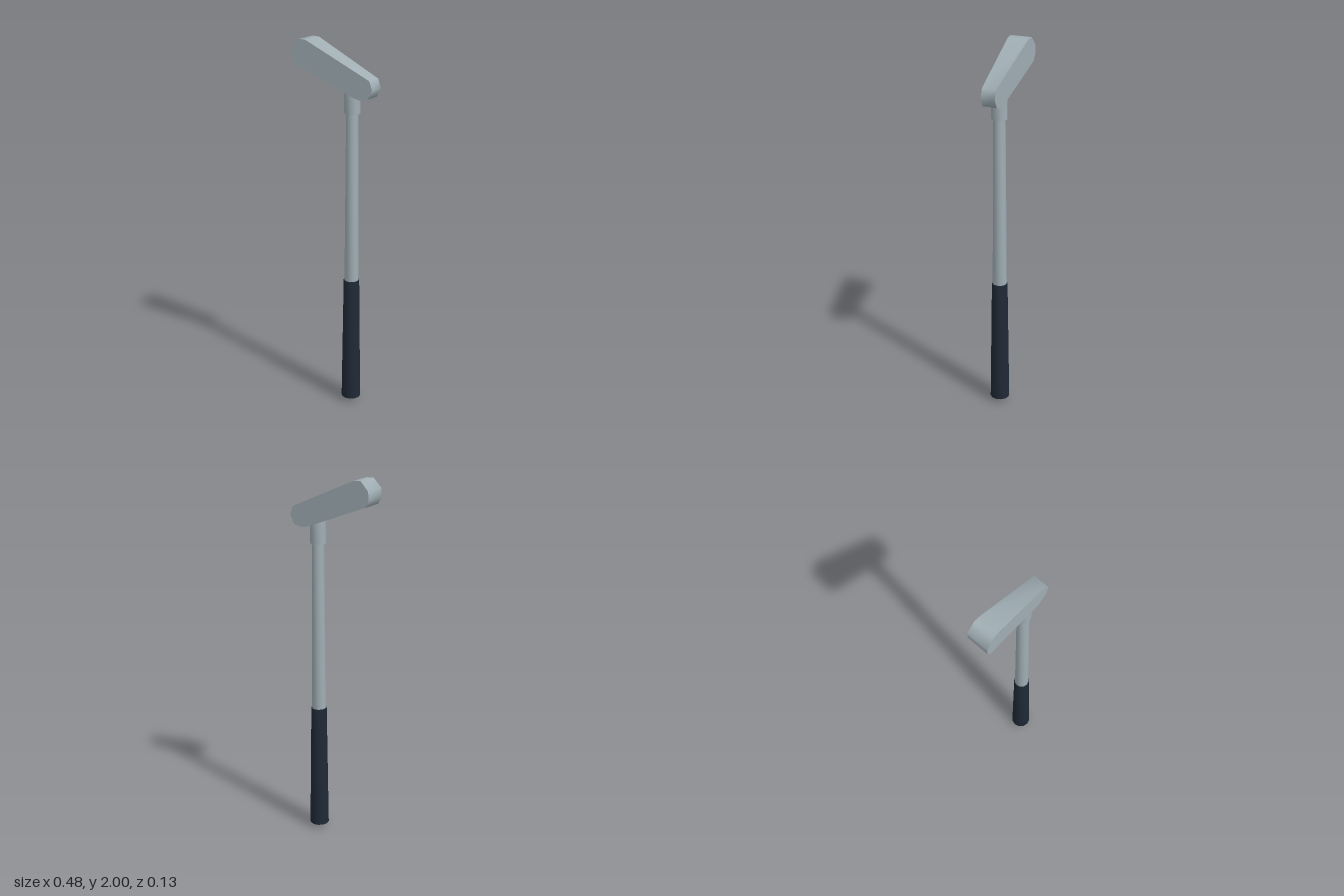
import * as THREE from 'three';
import { toCreasedNormals } from 'three/addons/utils/BufferGeometryUtils.js';

export function createModel() {
  const model = new THREE.Group();
  model.name = 'putter';
  const steel = new THREE.MeshStandardMaterial({ color: 0xa0aeb4 });
  steel.name = 'steel';
  const rubber = new THREE.MeshStandardMaterial({ color: 0x1f2936 });
  rubber.name = 'dark rubber';

  const add = (name, geometry, material) => {
    const mesh = new THREE.Mesh(geometry, material);
    mesh.name = name;
    model.add(mesh);
    return mesh;
  };

  // Parts turned around the shaft axis, from [radius, height] profiles
  const turned = (name, profile, material) => {
    const lathe = new THREE.LatheGeometry(profile.map(([r, y]) => new THREE.Vector2(r, y)), 12);
    add(name, toCreasedNormals(lathe, 0.7), material).position.set(0.095, 0, -0.015);
  };
  turned('grip', [[0, 0], [0.052, 0.025], [0.042, 0.72], [0, 0.72]], rubber);
  turned('shaft', [[0.038, 0.71], [0.032, 1.65]], steel);
  turned('hosel', [[0, 1.64], [0.042, 1.64], [0.042, 1.78], [0, 1.78]], steel);

  // Tilted head with rounded ends
  const outline = [
    [-0.219, 1.87], [0.124, 1.733], [0.167, 1.722], [0.215, 1.734], [0.239, 1.781],
    [0.222, 1.828], [-0.151, 1.998], [-0.193, 2], [-0.237, 1.952], [-0.239, 1.905],
  ].map(([x, y]) => new THREE.Vector2(x, y));
  const head = new THREE.ExtrudeGeometry(new THREE.Shape(outline), { depth: 1, bevelEnabled: false });

  // Flat back; the front face slants from the thick end to the thin one
  const p = head.attributes.position;
  for (let i = 0; i < p.count; i++) {
    p.setZ(i, p.getZ(i) < 0.5 ? -0.06 : 0.04 - 0.098 * p.getX(i));
  }
  add('head', toCreasedNormals(head, 0.95), steel);

  return model;
}
